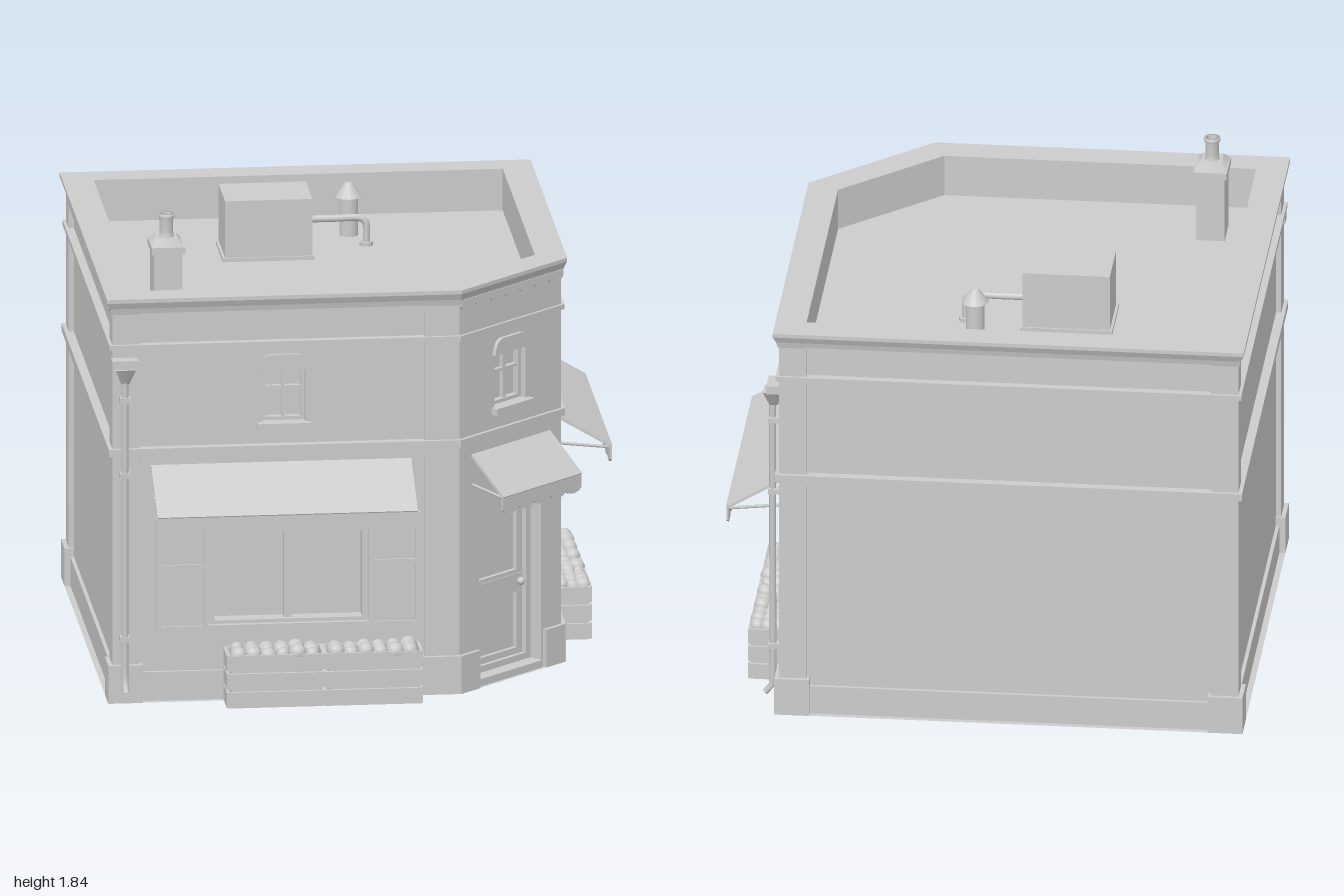
import * as THREE from 'three';

const grey = new THREE.MeshStandardMaterial({ color: 0xcccccc });
const greyDouble = new THREE.MeshStandardMaterial({ color: 0xcccccc, side: THREE.DoubleSide });

// Wall footprint as [x, z]: front, cut corner, right, back, left
const FOOT = [[-0.96, 0.75], [0.345, 0.75], [0.765, 0.36], [0.765, -0.96], [-0.96, -0.96]];
const N = FOOT.length;

function edge(i) {
  const [ax, az] = FOOT[i], [bx, bz] = FOOT[(i + 1) % N];
  const w = Math.hypot(bx - ax, bz - az);
  return { w, x: (ax + bx) / 2, z: (az + bz) / 2, nx: -(bz - az) / w, nz: (bx - ax) / w };
}

// Footprint moved outward by d with mitred corners
function outline(d) {
  return FOOT.map(([x, z], i) => {
    const a = edge((i + N - 1) % N), b = edge(i);
    const k = d / (1 + a.nx * b.nx + a.nz * b.nz);
    return [x + (a.nx + b.nx) * k, z + (a.nz + b.nz) * k];
  });
}

function add(parent, name, geo, x = 0, y = 0, z = 0, mat = grey) {
  const m = new THREE.Mesh(geo, mat);
  m.name = name;
  m.position.set(x, y, z);
  parent.add(m);
  return m;
}

// Box given by its extents
function box(parent, name, x0, x1, y0, y1, z0, z1) {
  return add(parent, name, new THREE.BoxGeometry(x1 - x0, y1 - y0, z1 - z0), (x0 + x1) / 2, (y0 + y1) / 2, (z0 + z1) / 2);
}

function group(parent, name, x = 0, y = 0, z = 0) {
  const g = new THREE.Group();
  g.name = name;
  g.position.set(x, y, z);
  parent.add(g);
  return g;
}

// Sweeps a [offset, y] profile around the footprint
function sweep(parent, name, profile) {
  const pos = [];
  for (let j = 0; j + 1 < profile.length; j++) {
    const lo = outline(profile[j][0]), hi = outline(profile[j + 1][0]);
    const y0 = profile[j][1], y1 = profile[j + 1][1];
    for (let i = 0; i < N; i++) {
      const k = (i + 1) % N;
      const a = [lo[i][0], y0, lo[i][1]], b = [lo[k][0], y0, lo[k][1]];
      const c = [hi[k][0], y1, hi[k][1]], d = [hi[i][0], y1, hi[i][1]];
      pos.push(...a, ...b, ...c, ...a, ...c, ...d);
    }
  }
  const g = new THREE.BufferGeometry();
  g.setAttribute('position', new THREE.Float32BufferAttribute(pos, 3));
  g.computeVertexNormals();
  add(parent, name, g);
}

function slab(parent, name, d, y) {
  const s = new THREE.Shape(outline(d).map(([x, z]) => new THREE.Vector2(x, -z)));
  add(parent, name, new THREE.ShapeGeometry(s).rotateX(-Math.PI / 2), 0, y, 0, greyDouble);
}

const rect = (x0, x1, y0, y1) => [[x0, y0], [x1, y0], [x1, y1], [x0, y1]].map(p => new THREE.Vector2(...p));
const extrude = (shape, depth) => new THREE.ExtrudeGeometry(shape, { depth, bevelEnabled: false, curveSegments: 5 });

function wall(parent, w, holes, z, t) {
  const s = new THREE.Shape(rect(-w / 2, w / 2, 0, 1.54));
  holes.forEach(h => s.holes.push(new THREE.Path(rect(...h))));
  add(parent, 'wall', extrude(s, t), 0, 0, z - t);
}

// Strip with a row of rounded tongues hanging below it
function scallops(parent, name, x0, x1, top, mid, low, z, t, pitch) {
  const n = Math.round((x1 - x0) / pitch), p = (x1 - x0) / n;
  const s = new THREE.Shape();
  s.moveTo(x1, top);
  s.lineTo(x0, top);
  s.lineTo(x0, mid);
  for (let i = 0; i < n; i++) {
    const x = x0 + i * p;
    s.bezierCurveTo(x + p * 0.1, low - (mid - low) / 3, x + p * 0.9, low - (mid - low) / 3, x + p, mid);
  }
  add(parent, name, extrude(s, t), 0, 0, z);
}

function frame(parent, x0, x1, y0, y1, z0, z1, t) {
  box(parent, 'frameSide', x0, x0 + t, y0, y1, z0, z1);
  box(parent, 'frameSide', x1 - t, x1, y0, y1, z0, z1);
  box(parent, 'frameRail', x0 + t, x1 - t, y0, y0 + t, z0, z1);
  box(parent, 'frameRail', x0 + t, x1 - t, y1 - t, y1, z0, z1);
}

function upperWindow(parent, u, w, z) {
  const g = group(parent, 'upperWindow', u, 0, z), h = w / 2;
  box(g, 'glass', -h, h, 1.09, 1.32, -0.07, -0.05);
  frame(g, -h, h, 1.09, 1.32, -0.05, -0.025, 0.016);
  box(g, 'mullion', -0.006, 0.006, 1.1, 1.31, -0.05, -0.03);
  box(g, 'glazingBar', -h, h, 1.215, 1.227, -0.05, -0.03);
  box(g, 'sill', -h - 0.018, h + 0.018, 1.065, 1.092, -0.03, 0.03);
  const s = new THREE.Shape();
  s.moveTo(-h - 0.012, 1.3);
  s.lineTo(h + 0.012, 1.3);
  s.quadraticCurveTo(h + 0.005, 1.36, h - 0.035, 1.362);
  s.lineTo(-h + 0.035, 1.362);
  s.quadraticCurveTo(-h - 0.005, 1.36, -h - 0.012, 1.3);
  add(g, 'lintel', extrude(s, 0.035), 0, 0, -0.02);
}

function shopWindow(parent, u) {
  const g = group(parent, 'shopWindow', u);
  box(g, 'glass', -0.31, 0.31, 0.28, 0.72, -0.07, -0.05);
  frame(g, -0.305, 0.305, 0.29, 0.72, -0.05, 0.01, 0.022);
  box(g, 'mullion', -0.014, 0.014, 0.3, 0.71, -0.05, -0.01);
  box(g, 'sill', -0.31, 0.31, 0.272, 0.298, -0.02, 0.03);
  for (const s of [-1, 1]) {
    const sh = group(g, 'shutter', s * 0.408);
    box(sh, 'shutterBoard', -0.1, 0.1, 0.275, 0.722, 0, 0.018);
    frame(sh, -0.1, 0.1, 0.275, 0.722, 0.018, 0.026, 0.02);
    box(sh, 'shutterRail', -0.08, 0.08, 0.52, 0.54, 0.018, 0.026);
  }
}

function awning(parent, u, w, z0, z1) {
  const g = group(parent, 'awning', u), drop = 0.14, run = z1 - z0;
  const sheet = add(g, 'awningSheet', new THREE.BoxGeometry(w, 0.01, Math.hypot(run, drop)), 0, 0.86, (z0 + z1) / 2);
  sheet.rotation.x = Math.atan2(drop, run);
  scallops(g, 'awningValance', -w / 2, w / 2, 0.793, 0.74, 0.722, z1 - 0.008, 0.008, 0.09);
  for (const s of [-1, 1]) {
    const rod = new THREE.LineCurve3(new THREE.Vector3(0, 0.81, z0), new THREE.Vector3(0, 0.785, z1 - 0.005));
    add(g, 'awningRod', new THREE.TubeGeometry(rod, 1, 0.006, 6), s * (w / 2 - 0.012));
  }
}

// Two slatted crates heaped with round produce
function crates(parent, u, w) {
  let seed = 7;
  const rnd = () => (seed = (seed * 16807) % 2147483647) / 2147483647;
  for (const s of [-1, 1]) {
    const g = group(parent, 'crate', u + s * w / 4), h = w / 4 - 0.004;
    box(g, 'crateFill', -h + 0.012, h - 0.012, 0.005, 0.19, 0.035, 0.155);
    for (const y of [0.005, 0.078, 0.15]) frameFlat(g, h, y, y + 0.062);
    for (let i = 0; i < 6; i++) for (let j = 0; j < 3; j++) {
      const r = 0.026 + rnd() * 0.01;
      add(g, 'fruit', new THREE.SphereGeometry(r, 10, 7), -h + 0.042 + i * (2 * h - 0.084) / 5,
        0.2 + rnd() * 0.012, 0.055 + j * 0.04);
    }
  }
}

function frameFlat(g, h, y0, y1) {
  box(g, 'crateSlat', -h, h, y0, y1, 0.155, 0.167);
  box(g, 'crateSlat', -h, h, y0, y1, 0.022, 0.034);
  for (const s of [-1, 1]) box(g, 'crateEnd', s * h - 0.006, s * h + 0.006, y0, y1, 0.03, 0.16);
}

function drainpipe(parent, u) {
  const g = group(parent, 'drainpipe', u);
  box(g, 'hopperRim', -0.05, 0.05, 1.335, 1.368, 0.01, 0.07);
  add(g, 'hopper', new THREE.CylinderGeometry(0.055, 0.022, 0.06, 4, 1).rotateY(Math.PI / 4), 0, 1.305, 0.045);
  const path = new THREE.CatmullRomCurve3([[1.3, 0.05], [0.7, 0.05], [0.12, 0.05], [0.085, 0.054], [0.06, 0.078]]
    .map(([y, z]) => new THREE.Vector3(0, y, z)));
  add(g, 'pipe', new THREE.TubeGeometry(path, 30, 0.013, 8), 0, 0, 0, greyDouble);
  for (const y of [0.25, 0.9, 1.2]) box(g, 'pipeBracket', -0.02, 0.02, y, y + 0.02, 0.015, 0.066);
}

function door(parent) {
  const g = group(parent, 'door', 0, 0, -0.07);
  box(g, 'doorBoard', -0.18, 0.18, 0.03, 0.73, -0.02, 0);
  frame(g, -0.18, 0.18, 0.03, 0.73, 0, 0.035, 0.025);
  frame(g, -0.15, 0.15, 0.36, 0.7, 0, 0.018, 0.03);
  frame(g, -0.15, 0.15, 0.05, 0.33, 0, 0.018, 0.03);
  box(g, 'midRail', -0.15, 0.15, 0.315, 0.375, 0, 0.022);
  add(g, 'doorKnob', new THREE.SphereGeometry(0.016, 10, 8), 0.125, 0.345, 0.035);
  box(g, 'doorstep', -0.18, 0.18, 0, 0.03, -0.02, 0.095);
}

export function createModel() {
  const root = new THREE.Group();
  root.name = 'cornerShop';
  const faces = FOOT.map((_, i) => {
    const e = edge(i), g = group(root, ['frontSide', 'cornerSide', 'rightSide', 'backSide', 'leftSide'][i], e.x, 0, e.z);
    g.rotation.y = Math.atan2(e.nx, e.nz);
    return g;
  });

  // Straight walls with pilasters, plinths and scalloped trim
  const shopU = { 0: 0.005, 2: 0.04 }, upU = { 0: -0.012, 2: -0.015 }, upW = { 0: 0.166, 2: 0.19 };
  for (const i of [0, 2, 3, 4]) {
    const g = faces[i], w = edge(i).w, h = w / 2, shop = i in shopU;
    wall(g, w, shop ? [[shopU[i] - 0.305, shopU[i] + 0.305, 0.29, 0.72],
      [upU[i] - upW[i] / 2, upU[i] + upW[i] / 2, 1.09, 1.32]] : [], 0, 0.075);
    for (const s of [-1, 1]) {
      const cut = (i === 0 && s > 0) || (i === 2 && s < 0);
      const inner = h - (cut ? 0.125 : 0.085), k = cut ? 0.41 : 1;
      const span = (d, o) => [s * (inner - o), s * (h + d * k)].sort((a, b) => a - b);
      box(g, 'pilaster', ...span(0.02, 0), 0, 1.54, -0.01, 0.02);
      box(g, 'pilasterBase', ...span(0.037, 0.012), 0, 0.15, -0.01, 0.037);
    }
    box(g, 'plinth', -h, h, 0, 0.115, -0.01, 0.014);
    scallops(g, 'beltScallops', -h + 0.085, h - 0.085, 0.985, 0.962, 0.944, 0, 0.025, 0.08);
    scallops(g, 'corniceScallops', -h + 0.085, h - 0.085, 1.56, 1.535, 1.518, 0, 0.025, 0.08);
    if (shop) {
      shopWindow(g, shopU[i]);
      upperWindow(g, upU[i], upW[i], 0);
    }
  }
  awning(faces[0], -0.022, 1.0, 0, 0.25);
  awning(faces[2], 0.038, 1.01, 0, 0.235);
  crates(faces[0], 0.13, 0.75);
  crates(faces[2], 0, 0.78);
  drainpipe(faces[0], -0.627);
  drainpipe(faces[2], 0.62);

  // Cut corner with the entrance
  const corner = faces[1], cw = edge(1).w + 0.016;
  wall(corner, cw, [[-0.18, 0.18, 0.03, 0.73], [-0.09, 0.09, 1.09, 1.32]], 0.02, 0.095);
  for (const s of [-1, 1]) {
    const [a, b] = [s * 0.19, s * (cw / 2 + 0.007)].sort((p, q) => p - q);
    box(corner, 'cornerPlinth', a, b, 0, 0.15, -0.01, 0.037);
  }
  scallops(corner, 'corniceScallops', -cw / 2, cw / 2, 1.56, 1.535, 1.518, 0.015, 0.017, 0.08);
  door(corner);
  upperWindow(corner, 0, 0.18, 0.02);
  awning(corner, 0, 0.455, 0.02, 0.184);

  // Bands, cornice with parapet, roof and floor
  sweep(root, 'belt', [[0, 0.978], [0.035, 0.978], [0.035, 1.008], [0, 1.008]]);
  sweep(root, 'upperBand', [[0, 1.4], [0.032, 1.4], [0.032, 1.42], [0, 1.42]]);
  sweep(root, 'cornice', [[0, 1.54], [0.024, 1.54], [0.03, 1.565], [0.042, 1.59], [0.042, 1.605],
    [-0.077, 1.605], [-0.077, 1.44]]);
  slab(root, 'roof', -0.07, 1.44);
  slab(root, 'floor', 0.037, 0.001);

  // Chimney
  const ch = group(root, 'chimney', -0.738, 0, 0.435);
  box(ch, 'chimneyStack', -0.055, 0.055, 1.44, 1.7, -0.073, 0.073);
  box(ch, 'chimneyCap', -0.064, 0.064, 1.7, 1.728, -0.082, 0.082);
  const taper = add(ch, 'chimneyTaper', new THREE.CylinderGeometry(0.055, 0.085, 0.025, 4).rotateY(Math.PI / 4), 0, 1.74, 0);
  taper.scale.z = 1.28;
  const pot = [[0.03, 1.75], [0.026, 1.765], [0.026, 1.77], [0.026, 1.825], [0.031, 1.828], [0.031, 1.842], [0.02, 1.842], [0.02, 1.76], [0, 1.76]];
  add(ch, 'chimneyPot', new THREE.LatheGeometry(pot.map(p => new THREE.Vector2(...p)), 12), 0, 0, 0, greyDouble);

  // Roof unit with its bent pipe, and the capped vent
  box(root, 'roofUnit', -0.44, -0.105, 1.44, 1.68, -0.52, -0.275);
  box(root, 'roofUnitBase', -0.45, -0.095, 1.44, 1.455, -0.527, -0.268);
  const bend = new THREE.CatmullRomCurve3([[-0.11, 1.55], [0.0, 1.55], [0.09, 1.55], [0.113, 1.54], [0.12, 1.52], [0.12, 1.44]]
    .map(([x, y]) => new THREE.Vector3(x, y, -0.452)));
  add(root, 'roofPipe', new THREE.TubeGeometry(bend, 24, 0.014, 8));
  add(root, 'roofPipeFlange', new THREE.CylinderGeometry(0.025, 0.025, 0.015, 12), 0.12, 1.448, -0.452);
  add(root, 'vent', new THREE.CylinderGeometry(0.036, 0.036, 0.16, 14), 0.068, 1.52, -0.605);
  add(root, 'ventCap', new THREE.CylinderGeometry(0.014, 0.052, 0.055, 14), 0.068, 1.62, -0.605);
  return root;
}
